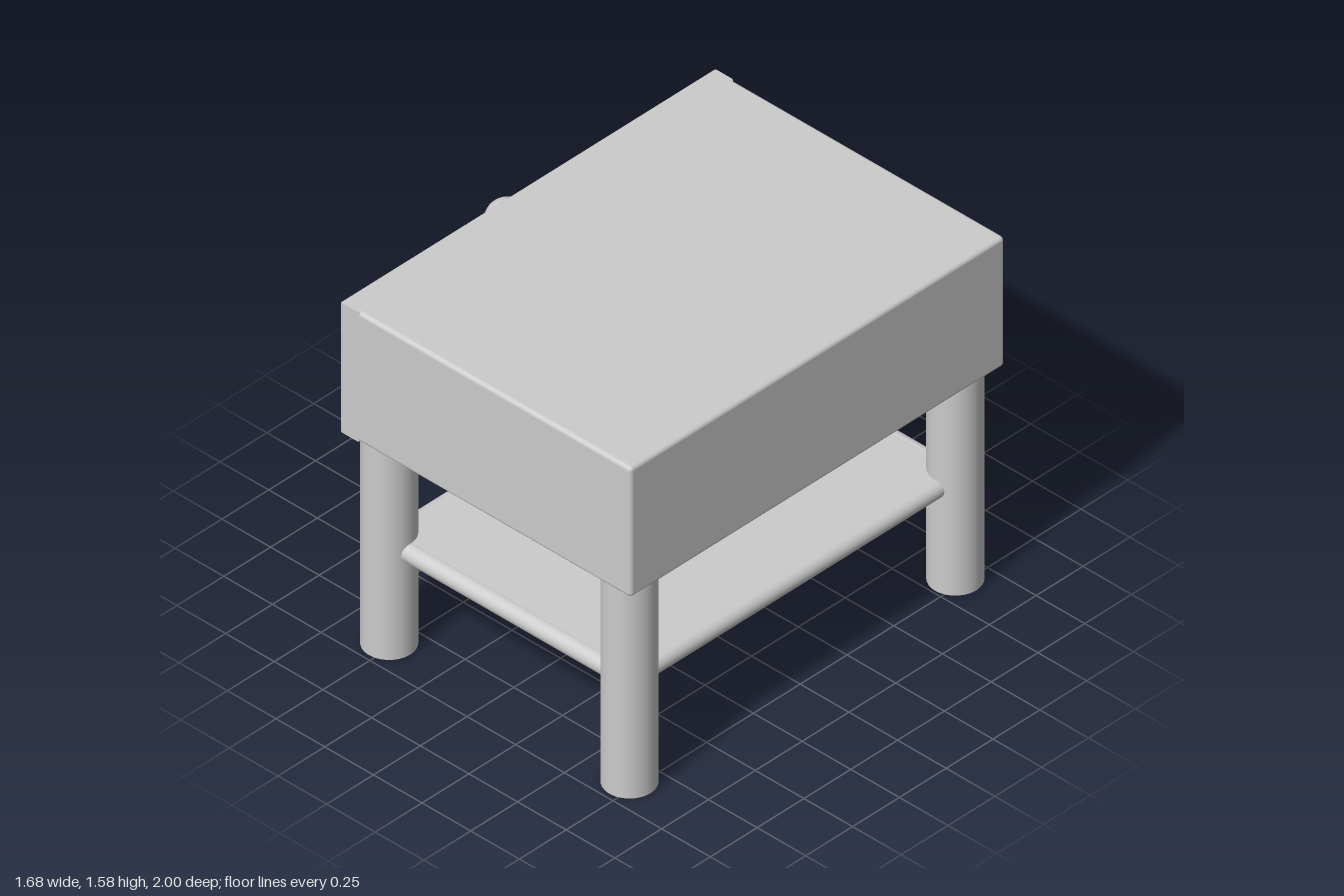
import * as THREE from 'three';
import { RoundedBoxGeometry } from 'three/addons/geometries/RoundedBoxGeometry.js';

const material = new THREE.MeshStandardMaterial({ color: 0xcccccc, roughness: 0.7 });

// Leg layout, shared by rails and shelf
const LEG_X = [-0.525, 0.71], LEG_Z = [-0.87, 0.87], LEG_R = 0.108;
const MID_X = (LEG_X[0] + LEG_X[1]) / 2, SPAN_X = LEG_X[1] - LEG_X[0];
const SPAN_Z = LEG_Z[1] - LEG_Z[0];
const RAIL_Y = 0.473, RAIL_R = 0.04;
const BODY_Y = 1.28;

export function createModel() {
  const model = new THREE.Group();
  model.name = 'bedsideTable';

  const add = (name, geometry, x, y, z) => {
    const mesh = new THREE.Mesh(geometry, material);
    mesh.name = name;
    mesh.position.set(x, y, z);
    model.add(mesh);
    return mesh;
  };

  // Cabinet box with softened edges
  add('cabinet', new RoundedBoxGeometry(1.483, 0.6, 2, 4, 0.018), 0.0985, BODY_Y, 0);

  // Thin rim standing proud around the drawer front
  const b = 0.012;
  const rect = (path, w, h) => path.moveTo(-w, -h).lineTo(w, -h).lineTo(w, h).lineTo(-w, h).closePath();
  const outline = rect(new THREE.Shape(), 1 - b, 0.3 - b);
  outline.holes.push(rect(new THREE.Path(), 0.982, 0.282));
  const rim = new THREE.ExtrudeGeometry(outline, {
    depth: 0.08, bevelThickness: b, bevelSize: b, bevelSegments: 3,
  });
  rim.rotateY(-Math.PI / 2);
  add('drawerRim', rim, -0.655 + 0.08 + b, BODY_Y, 0);

  // Drawer front, set just behind the rim
  add('drawerFront', new RoundedBoxGeometry(0.04, 0.535, 1.935, 3, 0.008), -0.629, BODY_Y, 0);

  // Ball knob on a short stem
  const stem = add('knobStem', new THREE.CylinderGeometry(0.05, 0.05, 0.1, 32), -0.68, 1.365, 0);
  stem.rotation.z = Math.PI / 2;
  add('knob', new THREE.SphereGeometry(0.088, 40, 28), -0.755, 1.365, 0);

  // Legs
  for (const x of LEG_X) for (const z of LEG_Z)
    add('leg', new THREE.CylinderGeometry(LEG_R, LEG_R, 1, 48), x, 0.5, z);

  // Round rails joining the legs on all four sides
  for (const z of LEG_Z)
    add('crossRail', new THREE.CylinderGeometry(RAIL_R, RAIL_R, SPAN_X, 32), MID_X, RAIL_Y, z).rotation.z = Math.PI / 2;
  for (const x of LEG_X)
    add('sideRail', new THREE.CylinderGeometry(RAIL_R, RAIL_R, SPAN_Z, 32), x, RAIL_Y, 0).rotation.x = Math.PI / 2;

  // Shelf lying between the rails
  add('shelf', new THREE.BoxGeometry(SPAN_X, 0.078, SPAN_Z), MID_X, RAIL_Y, 0);

  return model;
}
